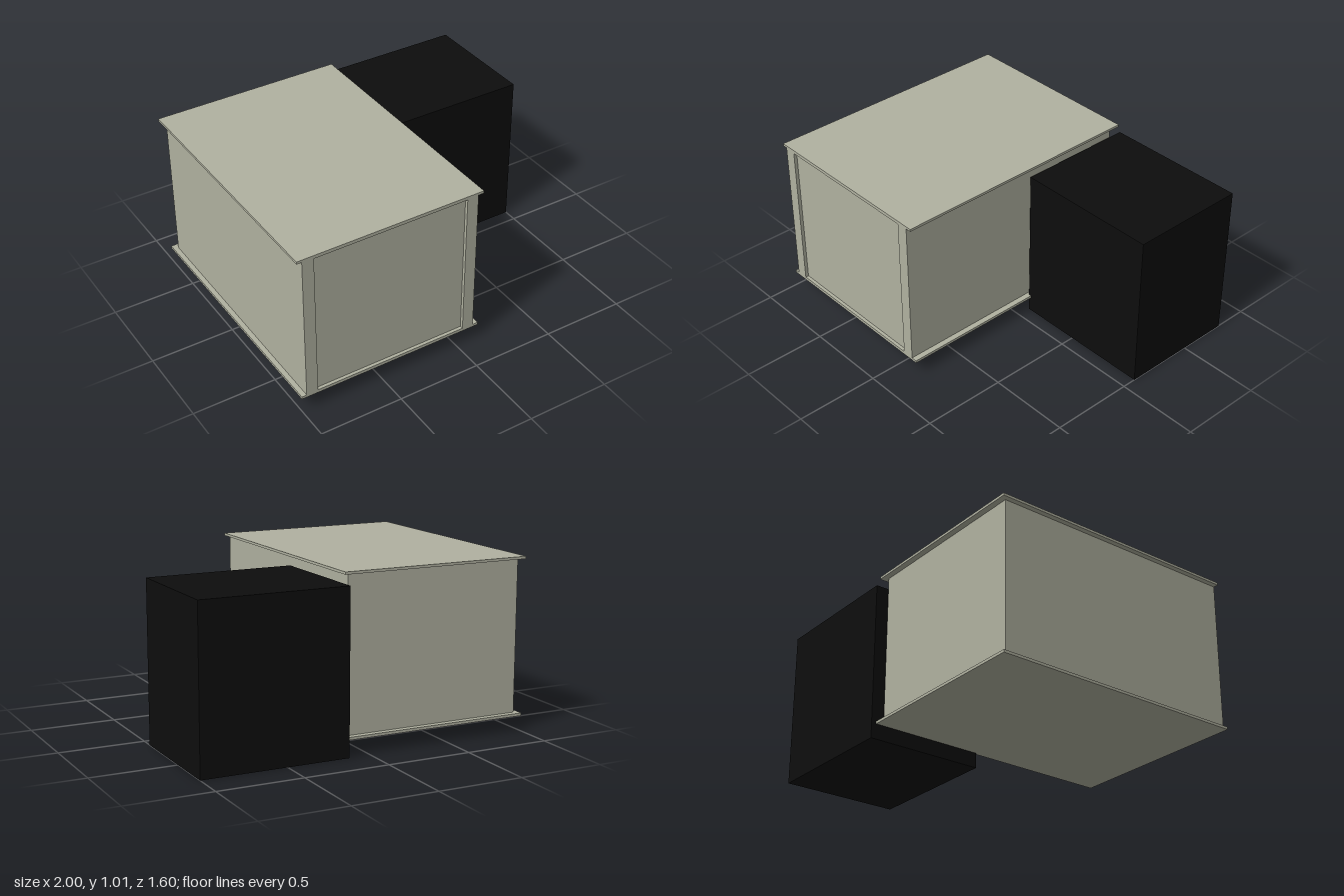
import * as THREE from 'three';

const stone = new THREE.MeshStandardMaterial({ color: 0xb0b1a0 });
stone.name = 'pale olive stone';
const black = new THREE.MeshStandardMaterial({ color: 0x0d0d0d });
black.name = 'black';
const dark = new THREE.MeshStandardMaterial({ color: 0x5a5b52 });
dark.name = 'dark olive';

// Box given by its min and max along each axis
function block(name, material, [x0, x1], [y0, y1], [z0, z1]) {
  const mesh = new THREE.Mesh(new THREE.BoxGeometry(x1 - x0, y1 - y0, z1 - z0), material);
  mesh.name = name;
  mesh.position.set((x0 + x1) / 2, (y0 + y1) / 2, (z0 + z1) / 2);
  return mesh;
}

export function createModel() {
  const model = new THREE.Group();
  model.name = 'building';

  // Main hall with thin overhanging floor and roof slabs
  const inner = [0.106, 0.997];
  const slabX = [-1, 0.145], slabZ = [-0.77, 0.8];
  model.add(
    block('hall', stone, [-0.97, 0.11], inner, [-0.735, 0.78]),
    block('floorSlab', stone, slabX, [0.09, 0.106], slabZ),
    block('roofSlab', stone, slabX, [0.997, 1.012], slabZ),
  );

  // Front frame around the slightly recessed panel
  const frame = new THREE.Shape();
  frame.moveTo(-0.97, inner[0]).lineTo(0.11, inner[0]).lineTo(0.11, inner[1]).lineTo(-0.97, inner[1]).closePath();
  const opening = new THREE.Path();
  opening.moveTo(-0.9, 0.109).lineTo(-0.9, 0.992).lineTo(0.04, 0.992).lineTo(0.04, 0.109).closePath();
  frame.holes.push(opening);
  const frontFrame = new THREE.Mesh(
    new THREE.ExtrudeGeometry(frame, { depth: 0.02, bevelEnabled: false }), stone);
  frontFrame.name = 'frontFrame';
  frontFrame.position.z = 0.78;
  model.add(frontFrame);

  // Side annex and the passage that joins it to the hall
  model.add(
    block('annex', black, [0.13, 1], [0, 0.942], [-0.8, -0.083]),
    block('passage', dark, [0.11, 0.13], [0.106, 0.835], [-0.65, -0.2]),
  );
  return model;
}
